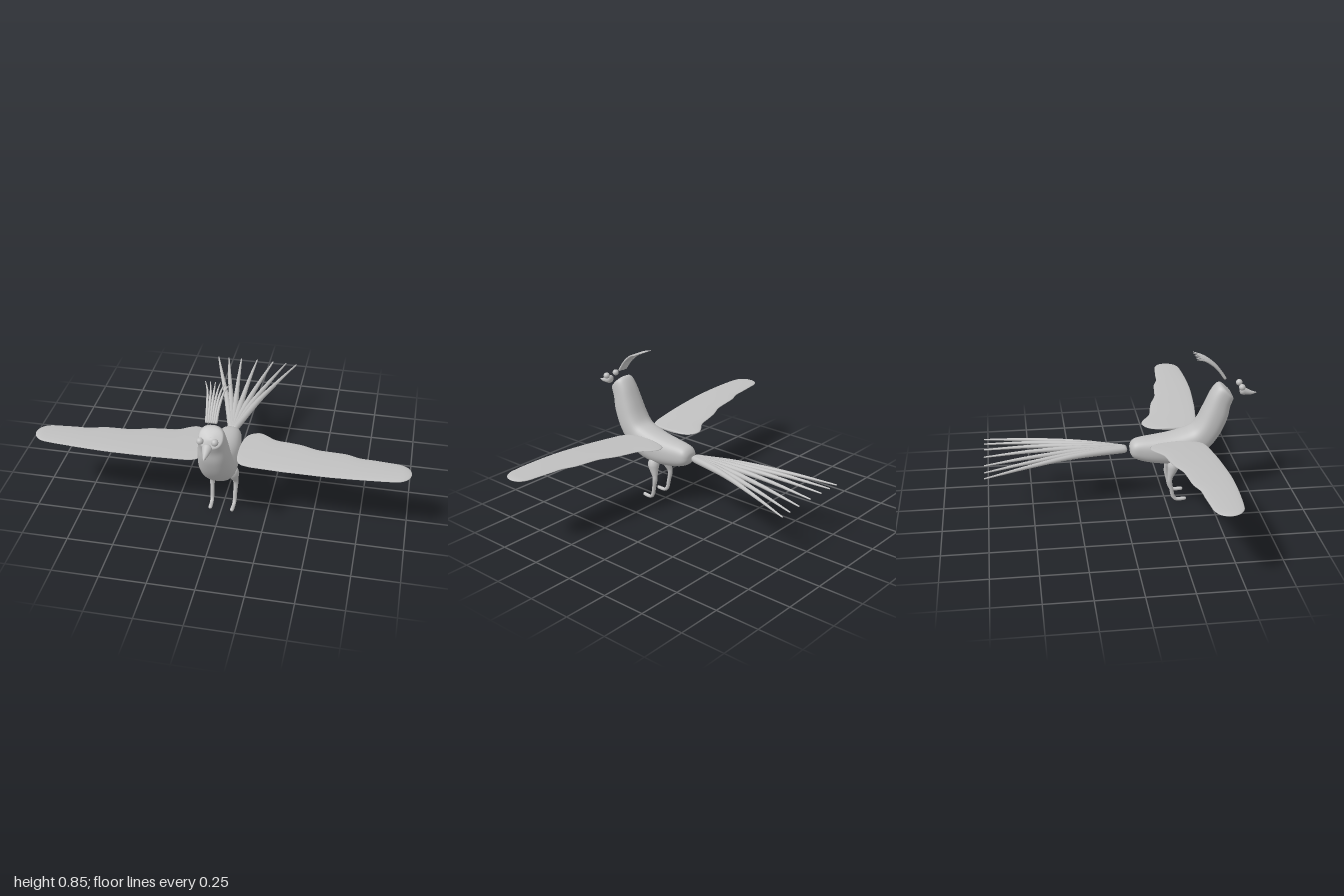
import * as THREE from 'three';

const plumage = new THREE.MeshStandardMaterial({ color: 0xc0c0c0 });
plumage.name = 'pale grey';
const V = (x, y, z) => new THREE.Vector3(x, y, z);

// Catmull-Rom smoothing of every column in a table of cross-sections
function smooth(rows, steps) {
  const out = [], last = rows.length - 1;
  for (let i = 0; i < last; i++) {
    const [a, b, c, d] = [i - 1, i, i + 1, i + 2].map(k => rows[Math.min(last, Math.max(0, k))]);
    for (let s = 0; s < steps; s++) {
      const t = s / steps;
      out.push(b.map((v, k) => v + 0.5 * t * (c[k] - a[k] + t * (2 * a[k] - 5 * v + 4 * c[k] - d[k] + t * (3 * (v - c[k]) + d[k] - a[k])))));
    }
  }
  out.push(rows[last]);
  return out;
}

// Superellipse ring around c; a x b points along the loft
function ring(c, a, b, sides = 32, power = 1) {
  const curve = v => Math.sign(v) * Math.abs(v) ** power;
  return Array.from({ length: sides }, (_, j) => {
    const t = j / sides * Math.PI * 2;
    return c.clone().addScaledVector(a, curve(Math.cos(t))).addScaledVector(b, curve(Math.sin(t)));
  });
}

// Closed skin over a list of rings
function loft(rings) {
  const n = rings[0].length, m = rings.length, pts = rings.flat(), index = [];
  const mid = r => r.reduce((s, p) => s.add(p), V(0, 0, 0)).divideScalar(n);
  pts.push(mid(rings[0]), mid(rings[m - 1]));
  for (let j = 0; j < n; j++) {
    const k = (j + 1) % n, e = (m - 1) * n;
    for (let i = 0; i < m - 1; i++) {
      const p = i * n, q = p + n;
      index.push(p + j, p + k, q + k, p + j, q + k, q + j);
    }
    index.push(m * n, k, j, m * n + 1, e + j, e + k);
  }
  const g = new THREE.BufferGeometry().setFromPoints(pts);
  g.setIndex(index);
  g.computeVertexNormals();
  return g;
}

// Round-ended tube whose radius follows a list
function taperedTube(points, radii, segments = 36, sides = 12) {
  const curve = new THREE.CatmullRomCurve3(points.map(p => V(...p)), false, 'centripetal');
  const frames = curve.computeFrenetFrames(segments), length = curve.getLength();
  const ts = [], rings = [];
  const radius = t => {
    const f = t * (radii.length - 1), i = Math.min(radii.length - 2, Math.floor(f));
    return THREE.MathUtils.lerp(radii[i], radii[i + 1], f - i);
  };
  for (let i = 0; i <= segments; i++) ts.push(i / segments);
  const add = (t, f, scale) => rings.push(ring(curve.getPointAt(t),
    frames.normals[f].clone().multiplyScalar(radius(t) * scale),
    frames.binormals[f].clone().multiplyScalar(radius(t) * scale), sides));
  const cap = [0.05, 0.4, 0.7, 0.9];
  for (const s of cap) add(radii[0] / length * (1 - Math.sqrt(1 - s * s)), 0, s);
  ts.forEach((t, i) => {
    if (t * length > radii[0] && (1 - t) * length > radii.at(-1)) add(t, i, 1);
  });
  for (const s of cap.reverse()) add(1 - radii.at(-1) / length * (1 - Math.sqrt(1 - s * s)), segments, s);
  return loft(rings);
}

// Loft from rows of [lower z, lower y, upper z, upper y, half width]
function sideLoft(rows, steps, power) {
  return loft(smooth(rows, steps).map(([lz, ly, uz, uy, w]) => ring(
    V(0, (ly + uy) / 2, (lz + uz) / 2), V(Math.max(w, 0.001), 0, 0), V(0, (uy - ly) / 2, (uz - lz) / 2), 40, power)));
}

export function createModel() {
  const bird = new THREE.Group();
  bird.name = 'bird';
  const part = (name, geometry, parent = bird) => {
    const mesh = new THREE.Mesh(geometry, plumage);
    mesh.name = name;
    parent.add(mesh);
    return mesh;
  };
  const group = name => {
    const g = new THREE.Group();
    g.name = name;
    bird.add(g);
    return g;
  };

  // Body sweeping from rump up into the neck
  part('body', sideLoft([
    [0.05, 0.308, 0.05, 0.318, 0.006], [0.056, 0.285, 0.053, 0.342, 0.036],
    [0.075, 0.264, 0.072, 0.366, 0.056], [0.12, 0.245, 0.11, 0.378, 0.066],
    [0.2, 0.229, 0.19, 0.388, 0.078], [0.3, 0.222, 0.27, 0.4, 0.086],
    [0.4, 0.242, 0.34, 0.417, 0.09], [0.48, 0.295, 0.395, 0.438, 0.09],
    [0.55, 0.382, 0.43, 0.483, 0.088], [0.595, 0.48, 0.465, 0.56, 0.081],
    [0.609, 0.55, 0.497, 0.632, 0.072], [0.621, 0.585, 0.525, 0.675, 0.067],
    [0.626, 0.6, 0.546, 0.687, 0.063], [0.621, 0.613, 0.562, 0.682, 0.052],
    [0.61, 0.637, 0.585, 0.664, 0.02], [0.601, 0.648, 0.599, 0.651, 0.002],
  ], 5, 0.85));

  // Beak and eyes
  part('beak', sideLoft([
    [0.663, 0.638, 0.663, 0.644, 0.003], [0.667, 0.62, 0.667, 0.655, 0.018],
    [0.68, 0.613, 0.676, 0.662, 0.025], [0.7, 0.612, 0.695, 0.652, 0.02],
    [0.73, 0.612, 0.727, 0.635, 0.011], [0.757, 0.619, 0.757, 0.624, 0.002],
  ], 4, 1));
  for (const s of [1, -1]) {
    const eye = part(s > 0 ? 'leftEye' : 'rightEye', new THREE.SphereGeometry(0.018, 24, 16));
    eye.position.set(0.037 * s, 0.671, 0.667);
  }

  // Crest plumes fanning backwards
  const crest = group('crest');
  for (let i = 0; i < 6; i++) {
    const f = (i - 2.5) / 2.5;
    part('crestPlume', taperedTube([
      [0.024 * f, 0.718, 0.576], [0.03 * f, 0.787, 0.523],
      [0.043 * f, 0.836, 0.458], [0.064 * f, 0.853, 0.405],
    ], [0.008, 0.007, 0.006, 0.002], 24, 8), crest);
  }

  // Tail feathers fanning from one root
  const tail = group('tail');
  for (const tip of [-0.245, -0.18, -0.1, 0, 0.1, 0.18, 0.245]) {
    const drop = Math.abs(tip) * 0.03;
    part('tailFeather', taperedTube([
      [tip * 0.02, 0.316, 0.035], [tip * 0.36, 0.335 - drop * 0.5, -0.25],
      [tip * 0.68, 0.331 - drop, -0.5], [tip, 0.31 - drop, -0.76],
    ], [0.02, 0.018, 0.013, 0.009, 0.004], 36, 12), tail);
  }

  // Wings from rows of [x, trailing z, leading z]
  const wingRows = smooth([
    [0.088, 0.3, 0.33], [0.092, 0.24, 0.38], [0.102, 0.19, 0.417], [0.125, 0.156, 0.442],
    [0.17, 0.14, 0.457], [0.21, 0.157, 0.463], [0.27, 0.198, 0.471], [0.35, 0.215, 0.481],
    [0.42, 0.232, 0.487], [0.5, 0.264, 0.493], [0.58, 0.275, 0.498], [0.66, 0.285, 0.499],
    [0.73, 0.31, 0.498], [0.8, 0.316, 0.495], [0.88, 0.325, 0.49], [0.94, 0.333, 0.482],
    [0.975, 0.35, 0.462], [0.993, 0.373, 0.437], [1, 0.398, 0.412],
  ], 4);
  // Legs with bent ankles and short feet
  for (const s of [1, -1]) {
    const side = s > 0 ? 'left' : 'right';
    part(side + 'Wing', loft(wingRows.map(([x, back, front]) => ring(
      V(s * x, 0.383 + 0.04 * Math.sin((x - 0.09) * 1.75), (back + front) / 2),
      V(0, 0.008 * Math.min(1, (front - back) / 0.13), 0), V(0, 0, s * (front - back) / 2), 24))));
    part(side + 'Leg', taperedTube([
      [0.045 * s, 0.255, 0.3], [0.057 * s, 0.2, 0.286], [0.065 * s, 0.14, 0.271],
      [0.064 * s, 0.08, 0.281], [0.063 * s, 0.03, 0.293], [0.062 * s, 0.014, 0.31], [0.06 * s, 0.014, 0.368],
    ], [0.042, 0.03, 0.015, 0.012, 0.011, 0.01, 0.011], 44, 16));
  }
  return bird;
}
